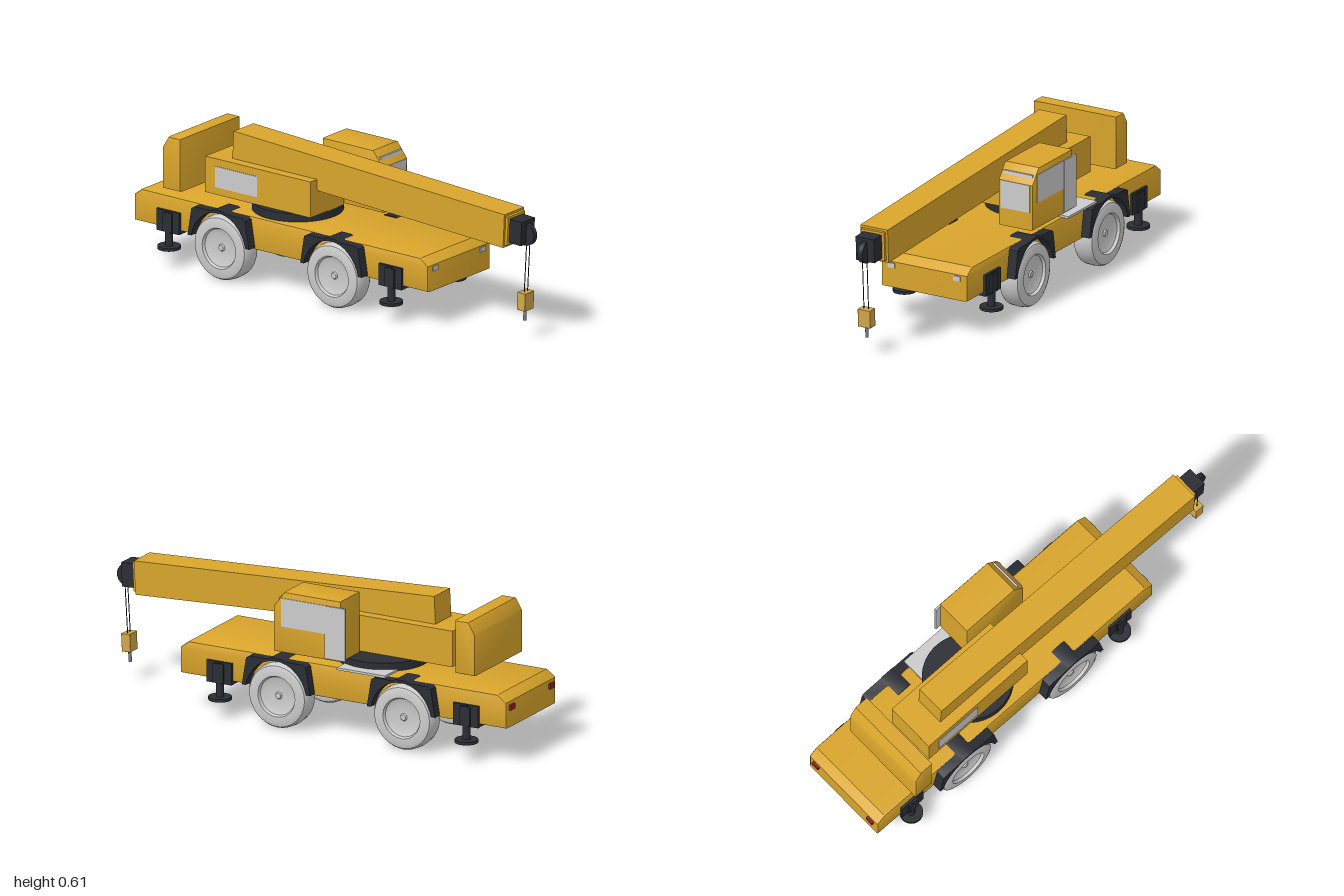
import * as THREE from 'three';
import { toCreasedNormals } from 'three/addons/utils/BufferGeometryUtils.js';
import { RoundedBoxGeometry } from 'three/addons/geometries/RoundedBoxGeometry.js';

const mat = (color) => new THREE.MeshStandardMaterial({ color });
const yellow = mat(0xd9a52b), dark = mat(0x2a2d33), grey = mat(0xcccccc), red = mat(0x9a2020);

export function createModel() {
  const model = new THREE.Group();

  const add = (name, geometry, material, x = 0, y = 0, z = 0, parent = model) => {
    const mesh = new THREE.Mesh(geometry, material);
    mesh.name = name;
    mesh.position.set(x, y, z);
    parent.add(mesh);
    return mesh;
  };

  // Box given by its lower and upper limits on each axis
  const box = (name, material, [x0, x1], [y0, y1], [z0, z1], parent) =>
    add(name, new THREE.BoxGeometry(x1 - x0, y1 - y0, z1 - z0), material,
      (x0 + x1) / 2, (y0 + y1) / 2, (z0 + z1) / 2, parent);

  // Side profile of [z, y] points, extruded across from x0 to x1
  const profile = (points, x0, x1, bevel = 0) => {
    const shape = new THREE.Shape(points.map(([z, y]) => new THREE.Vector2(z, y)));
    const g = new THREE.ExtrudeGeometry(shape, {
      depth: x1 - x0 - 2 * bevel, bevelEnabled: bevel > 0, bevelThickness: bevel,
      bevelSize: bevel, bevelOffset: -bevel, bevelSegments: 2,
    });
    g.rotateY(-Math.PI / 2).translate(x1 - bevel, 0, 0);
    return toCreasedNormals(g, 0.6);
  };

  // Carrier body with chamfered upper ends
  add('chassis', profile([[-0.99, 0.16], [0.56, 0.16], [0.56, 0.272], [0.52, 0.302],
    [-0.95, 0.302], [-0.99, 0.272]], -0.208, 0.208, 0.008), yellow);
  for (const s of [-1, 1]) {
    box('headlight', grey, [s * 0.158 - 0.017, s * 0.158 + 0.017], [0.245, 0.266], [0.55, 0.564]);
    box('tailLight', red, [s * 0.165 - 0.018, s * 0.165 + 0.018], [0.235, 0.258], [-1, -0.985]);
  }

  // Wheels: rounded tyre with a dished hub, turned about the axle
  const wheelHalf = [[0.0, 0.034], [0.012, 0.034], [0.016, 0.028], [0.06, 0.028], [0.082, 0.036],
    [0.088, 0.048], [0.118, 0.048], [0.131, 0.043], [0.138, 0.032], [0.141, 0]];
  const wheelPoints = [...wheelHalf, ...wheelHalf.slice(0, -1).reverse().map(([r, h]) => [r, -h])]
    .reverse().map(([r, h]) => new THREE.Vector2(r, h));
  const wheelGeo = toCreasedNormals(new THREE.LatheGeometry(wheelPoints, 40), 0.6);
  wheelGeo.rotateZ(Math.PI / 2);
  const axleGeo = new THREE.CylinderGeometry(0.017, 0.017, 0.34, 16).rotateZ(Math.PI / 2);

  // Fender: angular outer edge, round wheel opening
  const outer = [[-0.162, 0.17], [-0.142, 0.29], [-0.128, 0.299], [-0.04, 0.3], [-0.025, 0.307]];
  const opening = [];
  for (let i = 0; i <= 16; i++) {
    const a = 0.2 + (Math.PI - 0.4) * i / 16;
    opening.push([0.146 * Math.cos(a), 0.14 + 0.156 * Math.sin(a)]);
  }
  const fenderPoints = [...outer, ...outer.map(([z, y]) => [-z, y]).reverse(), ...opening].reverse();

  for (const z of [0.082, -0.513]) {
    add('axle', axleGeo, dark, 0, 0.141, z);
    for (const s of [-1, 1]) {
      add('wheel', wheelGeo, grey, s * 0.197, 0.141, z);
      add('fender', profile(fenderPoints, s < 0 ? -0.249 : 0.145, s < 0 ? -0.145 : 0.249), dark, 0, 0, z);
    }
  }

  // Outriggers: cross beam, jack legs and round feet
  const legGeo = new THREE.CylinderGeometry(0.017, 0.017, 0.15, 20);
  const footGeo = new THREE.CylinderGeometry(0.049, 0.049, 0.013, 28);
  for (const z of [0.37, -0.803]) {
    box('outriggerBeam', dark, [-0.215, 0.215], [0.146, 0.18], [z - 0.058, z + 0.058]);
    for (const s of [-1, 1]) {
      box('outriggerHousing', dark, [s * 0.209 - 0.01, s * 0.209 + 0.01], [0.146, 0.24], [z - 0.06, z + 0.06]);
      box('jackSleeve', dark, [s * 0.211 - 0.016, s * 0.211 + 0.016], [0.15, 0.232], [z - 0.025, z + 0.025]);
      add('jackLeg', legGeo, dark, s * 0.21, 0.16, z);
      add('jackFoot', footGeo, dark, s * 0.21, 0.082, z);
    }
  }

  // Turntable and rotating upper body
  add('turntable', new THREE.CylinderGeometry(0.19, 0.19, 0.04, 48), dark, 0, 0.318, -0.29);
  box('upperBody', yellow, [-0.157, 0.068], [0.337, 0.493], [-0.655, -0.1]);
  box('sidePanel', grey, [-0.16, -0.15], [0.37, 0.46], [-0.6, -0.38]);
  box('stepPlate', grey, [0.13, 0.237], [0.3, 0.31], [-0.43, -0.2]);

  // Counterweight with sloped rear edge
  add('counterweight', profile([[-0.81, 0.345], [-0.717, 0.345], [-0.717, 0.574], [-0.78, 0.574],
    [-0.81, 0.525]], -0.245, 0.155, 0.006), yellow);

  // Operator cab with windows and a sliding door
  add('cab', profile([[-0.222, 0.337], [0.096, 0.337], [0.096, 0.535], [0.045, 0.6],
    [-0.222, 0.6]], 0.078, 0.243, 0.006), yellow);
  add('windshield', profile([[0.09, 0.415], [0.1, 0.415], [0.076, 0.572], [0.066, 0.572]], 0.09, 0.231), grey);
  add('windshieldLower', profile([[0.09, 0.415], [0.1, 0.415], [0.099, 0.535], [0.09, 0.535]], 0.09, 0.231), grey);
  box('sideWindow', grey, [0.235, 0.246], [0.45, 0.573], [-0.15, 0.06]);
  box('slidingDoor', grey, [0.24, 0.249], [0.345, 0.573], [-0.246, -0.15]);

  // Boom, slightly drooping toward the front
  const boom = new THREE.Group();
  boom.name = 'boom';
  boom.position.set(-0.045, 0.504, 0.17);
  boom.rotation.x = 0.05;
  model.add(boom);
  box('boomOuter', yellow, [-0.066, 0.066], [-0.073, 0.073], [-0.716, 0.715], boom);
  box('boomInner', yellow, [-0.056, 0.056], [-0.063, 0.063], [0.7, 0.728], boom);
  box('boomHead', dark, [-0.044, 0.044], [-0.052, 0.052], [0.71, 0.79], boom);

  // Sheave, hoist ropes and hook block
  const sheaveGeo = new THREE.CylinderGeometry(0.048, 0.048, 0.022, 28).rotateZ(Math.PI / 2);
  add('sheave', sheaveGeo, dark, -0.045, 0.454, 0.952);
  for (const x of [-0.056, -0.034]) {
    const path = new THREE.LineCurve3(new THREE.Vector3(x, 0.41, 0.961), new THREE.Vector3(x, 0.2, 0.949));
    add('hoistRope', new THREE.TubeGeometry(path, 1, 0.002, 8), dark);
  }
  const hook = new THREE.Group();
  hook.name = 'hookBlock';
  hook.position.set(-0.045, 0.165, 0.947);
  hook.rotation.x = 0.05;
  model.add(hook);
  add('blockBody', new RoundedBoxGeometry(0.06, 0.078, 0.042, 1, 0.002), mat(0xd2a84a), 0, 0, 0, hook);
  add('hookShank', new THREE.CylinderGeometry(0.007, 0.007, 0.052, 14), mat(0x7c808a), 0, -0.062, 0, hook);

  return model;
}
